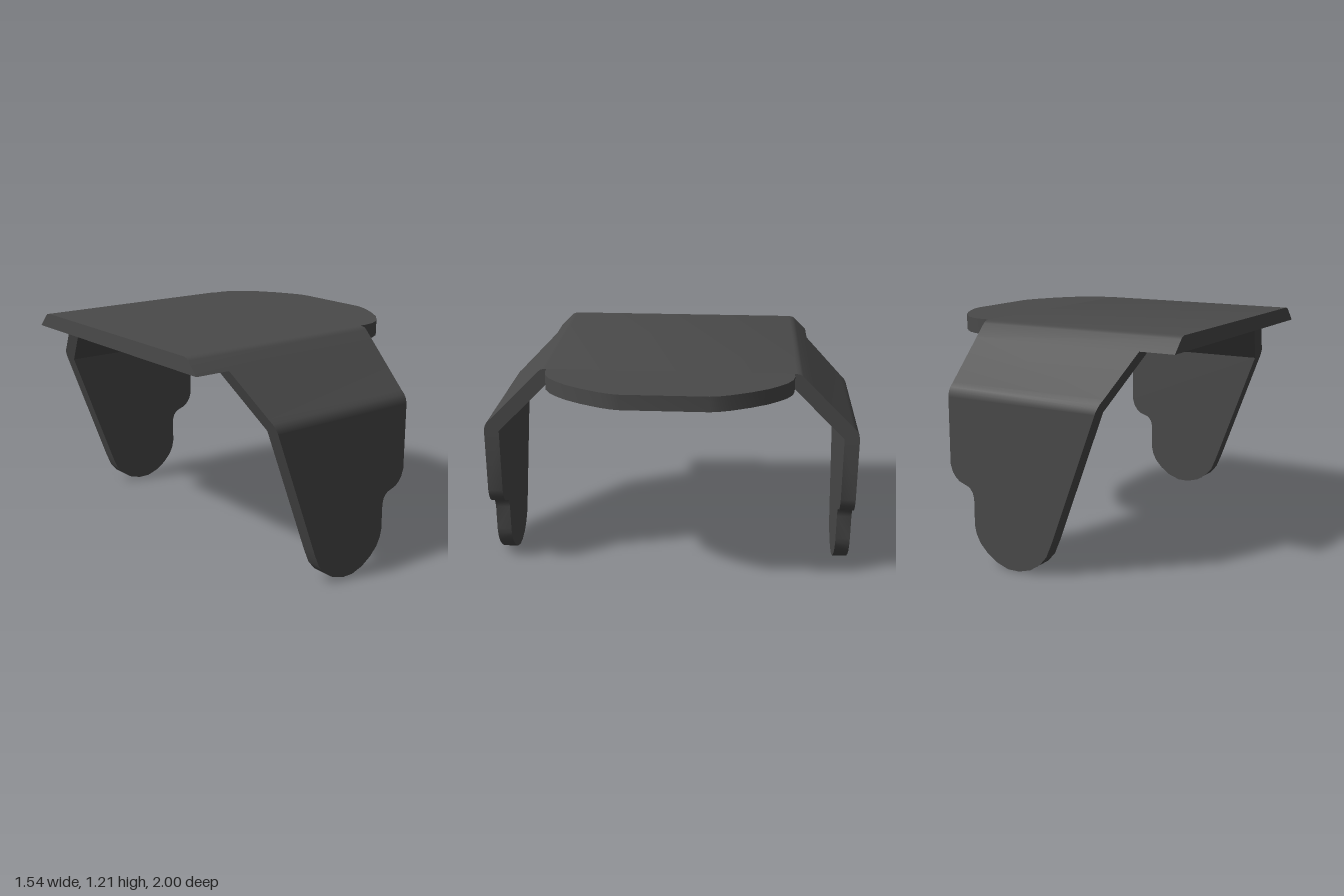
import * as THREE from 'three';
import { toCreasedNormals } from 'three/addons/utils/BufferGeometryUtils.js';

const TOP = 1.21, UNDER = 1.13, EDGE = 0.385;

// Leg outline: [y, x] along each edge, and [y, z] along each face of the bent sheet
const slantedEdge = [[0, -0.03], [0.02, -0.1], [0.058, -0.157], [0.105, -0.197], [0.178, -0.228], [UNDER, -0.58]];
const steppedEdge = [[0, 0.037], [0.025, 0.108], [0.065, 0.165], [0.11, 0.207], [0.155, 0.23], [0.2, 0.24],
  [0.34, 0.24], [0.37, 0.248], [0.39, 0.262], [0.4, 0.275], [0.42, 0.33], [0.438, 0.352], [0.465, 0.372],
  [0.505, EDGE], [UNDER, EDGE]];
const outerFace = [[0, 1], [0.86, 1], [0.885, 0.994], [0.905, 0.982], [0.925, 0.96], [UNDER, 0.755]];
const innerFace = [[0, 0.92], [0.855, 0.92], [UNDER, 0.645]];

function sample(line, y) {
  let i = 1;
  while (i < line.length - 1 && line[i][0] < y) i++;
  const [y0, v0] = line[i - 1], [y1, v1] = line[i];
  return v0 + (v1 - v0) * (y - y0) / (y1 - y0);
}

// Loft a four-cornered section up the height of the leg
function legGeometry(side) {
  const all = [...slantedEdge, ...steppedEdge, ...outerFace, ...innerFace].map(p => p[0]);
  const heights = [...new Set(all)].sort((a, b) => a - b);
  const positions = [], index = [];
  const tri = (a, b, c) => (side > 0 ? index.push(a, b, c) : index.push(a, c, b));
  heights.forEach((y, row) => {
    const x0 = sample(slantedEdge, y), x1 = sample(steppedEdge, y);
    const zi = side * sample(innerFace, y), zo = side * sample(outerFace, y);
    positions.push(x0, y, zi, x0, y, zo, x1, y, zo, x1, y, zi);
    if (row === 0) return;
    for (let k = 0; k < 4; k++) {
      const a = (row - 1) * 4 + k, b = (row - 1) * 4 + (k + 1) % 4;
      tri(a, b, b + 4);
      tri(a, b + 4, a + 4);
    }
  });
  tri(3, 2, 1);
  tri(3, 1, 0);
  const geometry = new THREE.BufferGeometry();
  geometry.setAttribute('position', new THREE.Float32BufferAttribute(positions, 3));
  geometry.setIndex(index);
  return geometry;
}

// Extrude an outline given as one half, mirrored across the chosen axis
function extrude(points, depth) {
  const shape = new THREE.Shape(points.map(p => new THREE.Vector2(...p)));
  return new THREE.ExtrudeGeometry(shape, { depth, bevelEnabled: false });
}

export function createModel() {
  const group = new THREE.Group();
  const material = new THREE.MeshStandardMaterial({ color: 0x4a4a4a });
  const add = (name, geometry) => {
    const mesh = new THREE.Mesh(toCreasedNormals(geometry, 0.6), material);
    mesh.name = name;
    group.add(mesh);
  };

  // Top plate with sloping, slightly rounded bends along both sides
  const bend = [[0.755, UNDER], [0.69, 1.195], [0.677, 1.205], [0.655, TOP]];
  const section = [...bend, ...bend.map(([z, y]) => [-z, y]).reverse()];
  add('topPlate', extrude(section, EDGE + 0.77).rotateY(Math.PI / 2).translate(-0.77, 0, 0));

  // Rounded tongue at the end of the plate
  const curve = [[EDGE, 0.645], [0.43, 0.645], [0.485, 0.635], [0.54, 0.605], [0.585, 0.565], [0.635, 0.51],
    [0.69, 0.425], [0.74, 0.325], [0.762, 0.265], [0.77, 0.22]];
  const outline = [...curve, ...curve.map(([x, z]) => [x, -z]).reverse()];
  add('tongue', extrude(outline, TOP - UNDER).rotateX(-Math.PI / 2).translate(0, UNDER, 0));

  // Bent legs, front and back
  add('frontLeg', legGeometry(1));
  add('backLeg', legGeometry(-1));
  return group;
}
